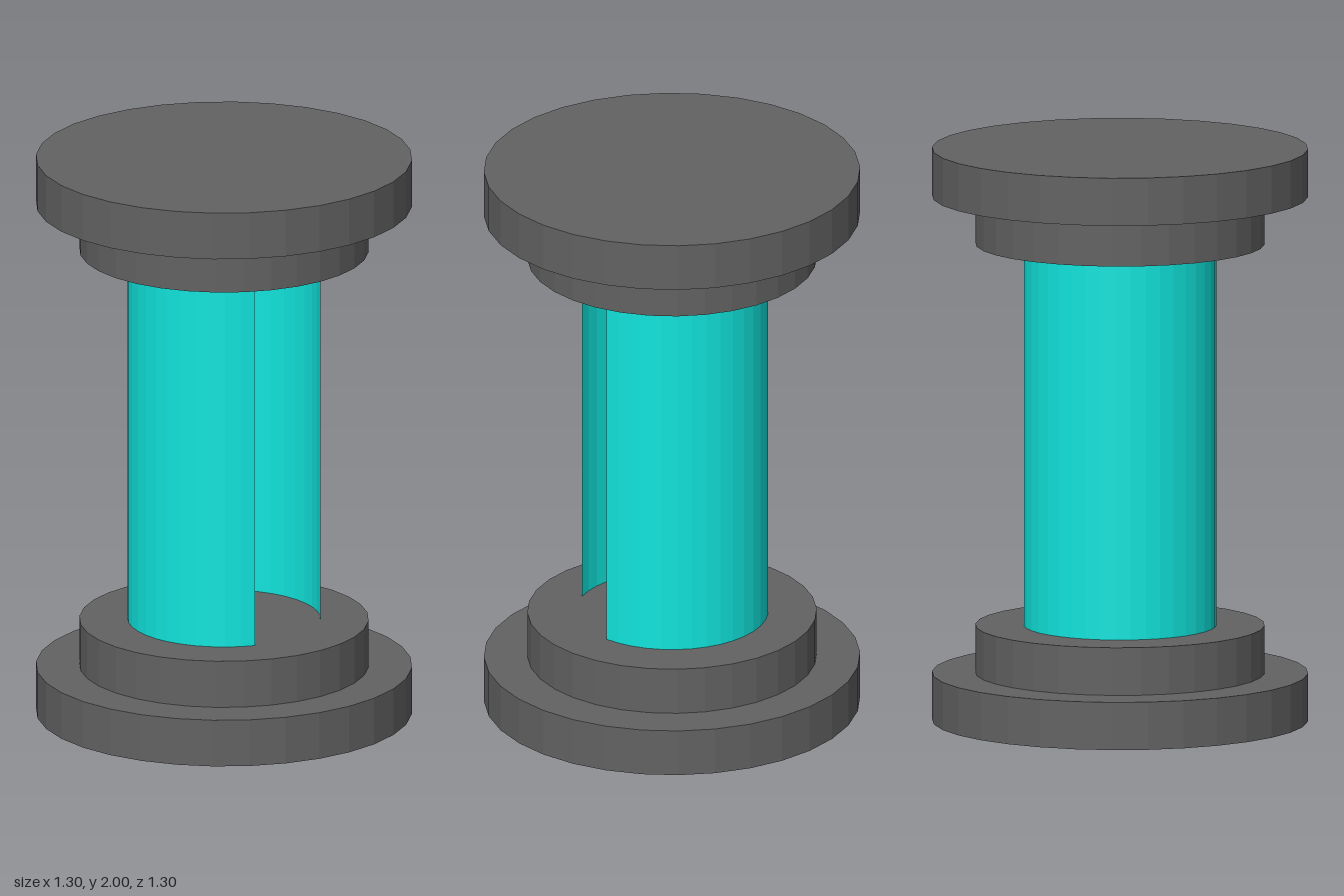
import * as THREE from 'three';

export function createModel() {
  const model = new THREE.Group();
  model.name = 'column';

  const stone = new THREE.MeshStandardMaterial({ name: 'dark grey', color: 0x626262, flatShading: true });
  const glass = new THREE.MeshStandardMaterial({
    name: 'turquoise', color: 0x11e5dd, flatShading: true, side: THREE.DoubleSide,
  });

  const step = 1 / 6; // height of each disc

  function addDisc(name, radius, y) {
    const disc = new THREE.Mesh(new THREE.CylinderGeometry(radius, radius, step, 32), stone);
    disc.name = name;
    disc.position.y = y;
    model.add(disc);
  }

  // Stepped base, mirrored as the cap
  for (const [part, place] of [['base', (y) => y], ['cap', (y) => 2 - y]]) {
    addDisc(part + 'WideDisc', 0.65, place(step / 2));
    addDisc(part + 'NarrowDisc', 0.5, place(step * 1.5));
  }

  // Thin curved wall, open towards +x
  const gap = THREE.MathUtils.degToRad(68);
  const wall = new THREE.Mesh(
    new THREE.CylinderGeometry(0.333, 0.333, 2 - 4 * step, 32, 1, true,
      Math.PI / 2 + gap / 2, Math.PI * 2 - gap),
    glass,
  );
  wall.name = 'curvedWall';
  wall.position.y = 1;
  model.add(wall);

  return model;
}
